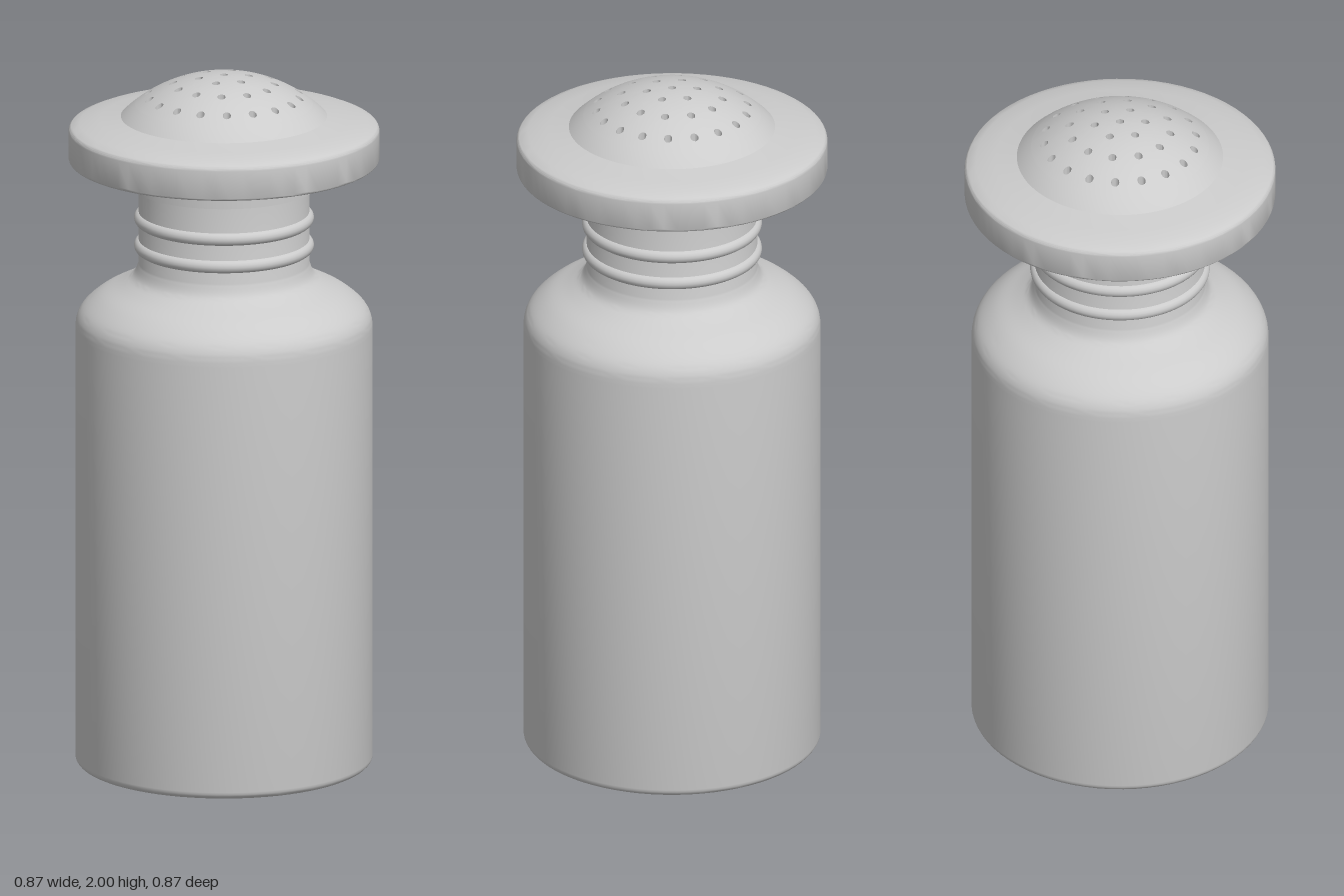
import * as THREE from 'three';
import { toCreasedNormals } from 'three/addons/utils/BufferGeometryUtils.js';

const SEG = 72;
const CREASE = 0.5;
const material = new THREE.MeshStandardMaterial({ color: 0xcccccc });

function addMesh(parent, name, geometry) {
  const mesh = new THREE.Mesh(geometry, material);
  mesh.name = name;
  parent.add(mesh);
  return mesh;
}

const vec = (pairs) => pairs.map(([r, y]) => new THREE.Vector2(r, y));
const spline = (pairs, n) => new THREE.SplineCurve(vec(pairs)).getPoints(n);
const arc = (r, y, radius, from, to) =>
  new THREE.EllipseCurve(r, y, radius, radius, from, to, to < from).getPoints(5);
const lathe = (points) => toCreasedNormals(new THREE.LatheGeometry(points, SEG), CREASE);

// Height of the cap's dome at distance r from the axis
const DOME_R = 0.41;
const domeY = (r) => 2 - DOME_R + Math.sqrt(DOME_R * DOME_R - r * r);

// Hollow bottle: rounded foot, straight wall, shoulder, neck and inner wall
function bottleProfile() {
  return [
    ...vec([[0, 0]]),
    ...arc(0.396, 0.022, 0.022, -Math.PI / 2, 0),
    ...spline([[0.418, 1.26], [0.414, 1.295], [0.395, 1.328], [0.35, 1.365],
      [0.29, 1.396], [0.255, 1.42], [0.24, 1.455]], 28),
    ...vec([[0.24, 1.79], [0.222, 1.79], [0.222, 1.44], [0.34, 1.345],
      [0.392, 1.28], [0.392, 0.03], [0, 0.03]]),
  ];
}

// Cap: inner collar, hollow underside, rolled rim, flange and foot of the dome
function capProfile() {
  const dome = [0.29, 0.28, 0.27, 0.26, 0.25].map((r) => [r, domeY(r)]);
  return [
    ...vec([[0.25, domeY(0.25) - 0.03], [0.242, 1.80], [0.242, 1.68], [0.263, 1.68],
      [0.263, 1.82], [0.395, 1.82], [0.408, 1.80], [0.41, 1.75]]),
    ...arc(0.427, 1.76, 0.01, -Math.PI / 2, 0),
    ...arc(0.421, 1.837, 0.016, 0, Math.PI * 0.4),
    ...vec([[0.405, 1.861], [0.35, 1.869]]),
    ...vec(dome),
  ];
}

// Perforated dome: concentric rings of cells, each with one round hole
function perforatedDome() {
  const PITCH = 0.0715, HALF = PITCH / 2, HOLE = 0.0115, THICK = 0.03;
  const EDGE = 0.25;
  const pos = [];
  const tri = (...pts) => pts.forEach((p) => pos.push(...p));
  const place = (x, z, drop) => [x, domeY(Math.hypot(x, z)) - drop, z];

  // Joins the hole to the cell border, above and below, and lines the hole
  function cell(cx, cz, border) {
    const layers = [0, 0.4, 1].map((t) => border.map(([x, z]) => {
      const a = Math.atan2(z - cz, x - cx);
      const hx = cx + HOLE * Math.cos(a), hz = cz + HOLE * Math.sin(a);
      return [hx + (x - hx) * t, hz + (z - hz) * t];
    }));
    const n = border.length;
    for (let i = 0; i < n; i++) {
      const j = (i + 1) % n;
      for (let k = 0; k < 2; k++) {
        const quad = [layers[k][i], layers[k + 1][i], layers[k + 1][j], layers[k][j]];
        const [a, b, c, d] = quad.map((p) => place(...p, 0));
        tri(a, b, c, a, c, d);
        const [e, f, g, h] = quad.map((p) => place(...p, THICK));
        tri(e, g, f, e, h, g);
      }
      const [t0, t1] = [layers[0][i], layers[0][j]].map((p) => place(...p, 0));
      const [b0, b1] = [layers[0][i], layers[0][j]].map((p) => place(...p, THICK));
      tri(t0, t1, b1, t0, b1, b0);
    }
  }

  const polar = (r, a) => [r * Math.sin(a), r * Math.cos(a)];

  // Centre hole
  cell(0, 0, Array.from({ length: SEG }, (_, i) => polar(HALF, (i / SEG) * Math.PI * 2)));

  // Rings of 6, 12 and 18 holes
  for (let ring = 1; ring <= 3; ring++) {
    const count = ring * 6, steps = SEG / count;
    const r0 = (ring - 0.5) * PITCH;
    const r1 = ring === 3 ? EDGE : r0 + PITCH;
    const half = Math.PI / count;
    const shift = ring === 2 ? half : 0;
    for (let h = 0; h < count; h++) {
      const mid = shift + h * 2 * half;
      const border = [];
      const side = (n, ra, va, rb, vb) => {
        for (let i = 0; i < n; i++) {
          const t = i / n;
          border.push(polar(ra + (rb - ra) * t, mid + half * (va + (vb - va) * t)));
        }
      };
      side(steps, r1, -1, r1, 1);
      side(4, r1, 1, r0, 1);
      side(steps, r0, 1, r0, -1);
      side(4, r0, -1, r1, -1);
      cell(...polar(ring * PITCH, mid), border);
    }
  }

  const geometry = new THREE.BufferGeometry();
  geometry.setAttribute('position', new THREE.Float32BufferAttribute(pos, 3));
  return toCreasedNormals(geometry, CREASE);
}

export function createModel() {
  const model = new THREE.Group();
  model.name = 'shaker';

  const bottle = new THREE.Group();
  bottle.name = 'bottle';
  addMesh(bottle, 'bottleBody', lathe(bottleProfile()));

  // Two beads around the neck
  for (const y of [1.505, 1.585]) {
    const bead = addMesh(bottle, 'neckBead', new THREE.TorusGeometry(0.234, 0.019, 16, SEG));
    bead.rotation.x = Math.PI / 2;
    bead.position.y = y;
  }

  const cap = new THREE.Group();
  cap.name = 'cap';
  addMesh(cap, 'capRim', lathe(capProfile()));
  addMesh(cap, 'perforatedDome', perforatedDome());

  model.add(bottle, cap);
  return model;
}
